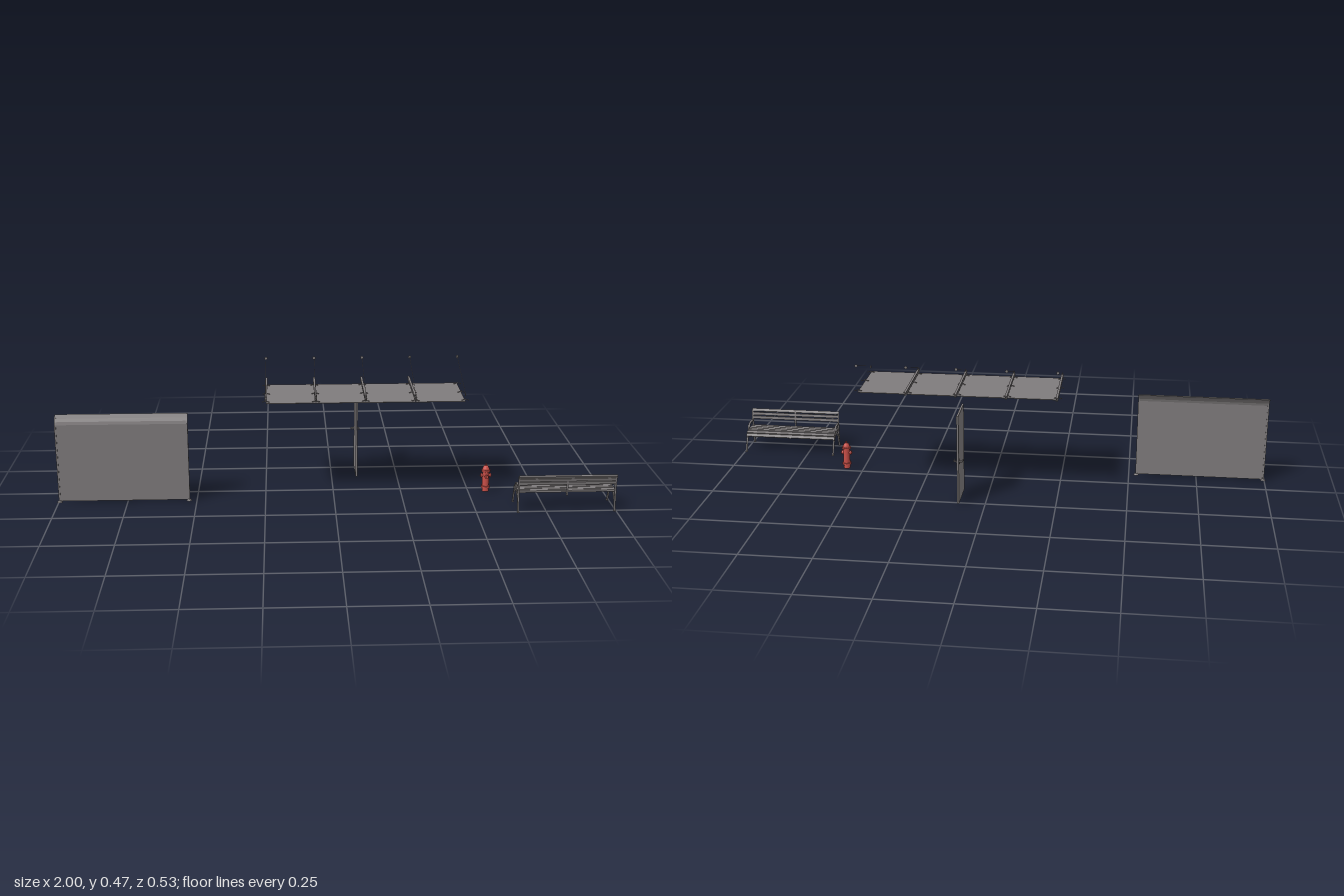
import * as THREE from 'three';

const grey = new THREE.MeshStandardMaterial({ color: 0x7f7b7c });
grey.name = 'grey metal';
const red = new THREE.MeshStandardMaterial({ color: 0xc84f48 });
red.name = 'hydrant red';

function add(parent, name, geometry, material, x = 0, y = 0, z = 0) {
  const mesh = new THREE.Mesh(geometry, material);
  mesh.name = name;
  mesh.position.set(x, y, z);
  parent.add(mesh);
  return mesh;
}

function group(parent, name) {
  const g = new THREE.Group();
  g.name = name;
  parent.add(g);
  return g;
}

const box = (w, h, d) => new THREE.BoxGeometry(w, h, d);
const cyl = (r1, r2, h, n = 16) => new THREE.CylinderGeometry(r1, r2, h, n);

// Flat bar following [z, y] points, extruded along x; thickness runs from t0 to t1
function bar(points, t0, width, t1 = t0, steps = 20, smooth = true) {
  const pts = points.map(p => new THREE.Vector3(p[0], p[1], 0));
  const curve = new THREE.CatmullRomCurve3(pts, false, 'centripetal');
  const path = smooth ? curve.getPoints(steps) : pts;
  const left = [], right = [];
  path.forEach((p, i) => {
    const a = path[Math.max(i - 1, 0)], b = path[Math.min(i + 1, path.length - 1)];
    const d = b.clone().sub(a).normalize();
    const h = THREE.MathUtils.lerp(t0, t1, i / (path.length - 1)) / 2;
    left.push(new THREE.Vector2(p.x - d.y * h, p.y + d.x * h));
    right.unshift(new THREE.Vector2(p.x + d.y * h, p.y - d.x * h));
  });
  const g = new THREE.ExtrudeGeometry(new THREE.Shape([...left, ...right]), { depth: width, bevelEnabled: false });
  g.translate(0, 0, -width / 2);
  g.rotateY(-Math.PI / 2);
  return g;
}

// Thin rod between two points
function rod(a, b, r) {
  const line = new THREE.LineCurve3(new THREE.Vector3(...a), new THREE.Vector3(...b));
  return new THREE.TubeGeometry(line, 1, r, 6);
}

function buildScreen(root) {
  const g = group(root, 'windScreen');
  const tip = [[0.09, 0.293], [0.087, 0.303], [0.08, 0.313], [0.065, 0.325]];
  const sheet = [[0.09, 0.004], [0.09, 0.15], ...tip];
  add(g, 'screenPanel', bar(sheet, 0.003, 0.468, 0.003, 0, false), grey, -0.762);
  for (const x of [-0.996, -0.528]) {
    add(g, 'screenPost', bar([[0.09, 0], [0.09, 0.293]], 0.008, 0.006, 0.008, 0, false), grey, x);
    add(g, 'screenPostTip', bar(tip, 0.008, 0.006, 0.001), grey, x);
    add(g, 'screenPostFoot', cyl(0.005, 0.01, 0.006), grey, x, 0.003, 0.09);
  }
}

function buildCanopy(root) {
  const g = group(root, 'canopy');
  const xs = [-0.244, -0.065, 0.114, 0.293, 0.472];
  // Four roof sheets with slim joints
  for (let i = 0; i < 4; i++) {
    add(g, 'roofSheet', box(0.178, 0.002, 0.248), grey, (xs[i] + xs[i + 1]) / 2, 0.366, -0.026);
  }
  xs.forEach((x, i) => {
    // I-section beams; the last joint carries fittings only
    if (i < 4) {
      add(g, 'beamWeb', box(0.003, 0.011, 0.285), grey, x, 0.3785, -0.0435);
      for (const y of [0.374, 0.383]) add(g, 'beamFlange', box(0.008, 0.002, 0.285), grey, x, y, -0.0435);
    }
    // Spider fittings clamping the sheets
    for (const z of [0.083, -0.02, -0.135]) {
      add(g, 'fittingStem', cyl(0.0015, 0.0015, 0.007, 8), grey, x, 0.3705, z);
      for (const s of [-1, 1]) {
        add(g, 'fittingArm', rod([x, 0.371, z], [x + s * 0.011, 0.368, z], 0.001), grey);
        add(g, 'fittingDisc', cyl(0.003, 0.003, 0.002, 10), grey, x + s * 0.011, 0.368, z);
      }
    }
    // Tie rod from the beam up to its wall plate
    add(g, 'tieBracket', box(0.003, 0.01, 0.006), grey, x, 0.388, 0.084);
    add(g, 'tieRod', rod([x, 0.391, 0.084], [x, 0.467, -0.153], 0.0007), grey);
    add(g, 'wallPlate', cyl(0.0055, 0.0055, 0.002), grey, x, 0.467, -0.155).rotation.x = Math.PI / 2;
  });
}

function buildDoor(root) {
  const g = group(root, 'door');
  add(g, 'doorLeaf', box(0.007, 0.329, 0.135), grey, 0.095, 0.1675, -0.198);
  for (const s of [-1, 1]) {
    add(g, 'handleRose', cyl(0.008, 0.008, 0.002), grey, 0.095 + s * 0.0045, 0.16, -0.254).rotation.z = Math.PI / 2;
    add(g, 'handleNeck', cyl(0.003, 0.003, 0.012, 10), grey, 0.095 + s * 0.01, 0.16, -0.254).rotation.z = Math.PI / 2;
    add(g, 'handleLever', box(0.003, 0.004, 0.025), grey, 0.095 + s * 0.015, 0.16, -0.245);
  }
}

function buildHydrant(root) {
  const g = group(root, 'hydrant');
  g.position.set(0.565, 0, 0.032);
  const profile = [[0, 0], [0.0125, 0], [0.0125, 0.014], [0.0165, 0.014], [0.0165, 0.021], [0.0125, 0.021],
    [0.0125, 0.077], [0.0165, 0.077], [0.0165, 0.083], [0.0135, 0.083], [0.0125, 0.089], [0.009, 0.096],
    [0.004, 0.1], [0.0025, 0.1], [0.0025, 0.106], [0, 0.106]];
  const pts = profile.map(p => new THREE.Vector2(p[0], p[1]));
  // Each step is its own strip, so flange edges stay crisp
  for (let i = 0; i < pts.length - 1; i++) {
    add(g, 'hydrantBody', new THREE.LatheGeometry([pts[i], pts[i + 1]], 24), red);
  }
  // Front outlet and two side outlets
  for (const [angle, r, reach] of [[0, 0.005, 0.02], [Math.PI / 2, 0.006, 0.017], [-Math.PI / 2, 0.006, 0.017]]) {
    const outlet = group(g, 'outlet');
    outlet.rotation.y = angle;
    add(outlet, 'outletPipe', cyl(r, r, reach), red, 0, 0.061, reach / 2).rotation.x = Math.PI / 2;
    add(outlet, 'outletCap', cyl(r + 0.002, r + 0.002, 0.004), red, 0, 0.061, reach).rotation.x = Math.PI / 2;
    add(outlet, 'outletNut', cyl(0.002, 0.002, 0.004, 6), red, 0, 0.061, reach + 0.003).rotation.x = Math.PI / 2;
  }
  // Flange bolts
  for (let i = 0; i < 8; i++) {
    const a = (i + 0.5) * Math.PI / 4;
    for (const y of [0.0175, 0.08]) add(g, 'flangeBolt', cyl(0.0015, 0.0015, 0.009, 6), red, Math.sin(a) * 0.0148, y, Math.cos(a) * 0.0148);
  }
}

function buildBench(root) {
  const g = group(root, 'bench');
  const back = [[0.252, 0.06], [0.2515, 0.095], [0.254, 0.115], [0.259, 0.136]];
  const seat = [[0.25, 0.069], [0.2, 0.069], [0.18, 0.067], [0.171, 0.062], [0.165, 0.054]];
  // Cast end frames
  for (const x of [0.648, 0.994]) {
    const f = group(g, 'endFrame');
    f.position.x = x;
    add(f, 'backLeg', bar([[0.257, 0.002], [0.253, 0.025], [0.252, 0.06]], 0.005, 0.006), grey);
    add(f, 'backUpright', bar(back, 0.005, 0.006), grey);
    add(f, 'legArch', bar([[0.257, 0.002], [0.24, 0.048], [0.207, 0.067], [0.172, 0.053], [0.147, 0.002]], 0.005, 0.006), grey);
    add(f, 'seatRail', bar(seat, 0.004, 0.006), grey);
    add(f, 'armRest', bar([[0.251, 0.095], [0.225, 0.096], [0.205, 0.094], [0.195, 0.085], [0.192, 0.07]], 0.005, 0.007), grey);
    for (const z of [0.257, 0.147]) add(f, 'foot', box(0.008, 0.002, 0.011), grey, 0, 0.001, z);
  }
  // Middle brace
  add(g, 'middleBackBrace', bar(back, 0.004, 0.006), grey, 0.821);
  add(g, 'middleSeatBrace', bar(seat, 0.004, 0.006), grey, 0.821);
  // Slats as [z, y, tilt]
  const seatSlats = [[0.242, 0.074, 0], [0.2285, 0.074, 0], [0.215, 0.074, 0], [0.2015, 0.074, 0],
    [0.188, 0.074, 0], [0.1755, 0.071, -0.5], [0.167, 0.062, -0.95]];
  const backSlats = [[0.251, 0.107, 1.4], [0.255, 0.121, 1.32], [0.261, 0.134, 0.95]];
  for (const [z, y, tilt] of seatSlats) add(g, 'seatSlat', box(0.35, 0.007, 0.011), grey, 0.821, y, z).rotation.x = tilt;
  for (const [z, y, tilt] of backSlats) add(g, 'backSlat', box(0.35, 0.007, 0.011), grey, 0.821, y, z).rotation.x = -tilt;
}

export function createModel() {
  const root = new THREE.Group();
  root.name = 'streetFurniture';
  buildScreen(root);
  buildCanopy(root);
  buildDoor(root);
  buildHydrant(root);
  buildBench(root);
  return root;
}
